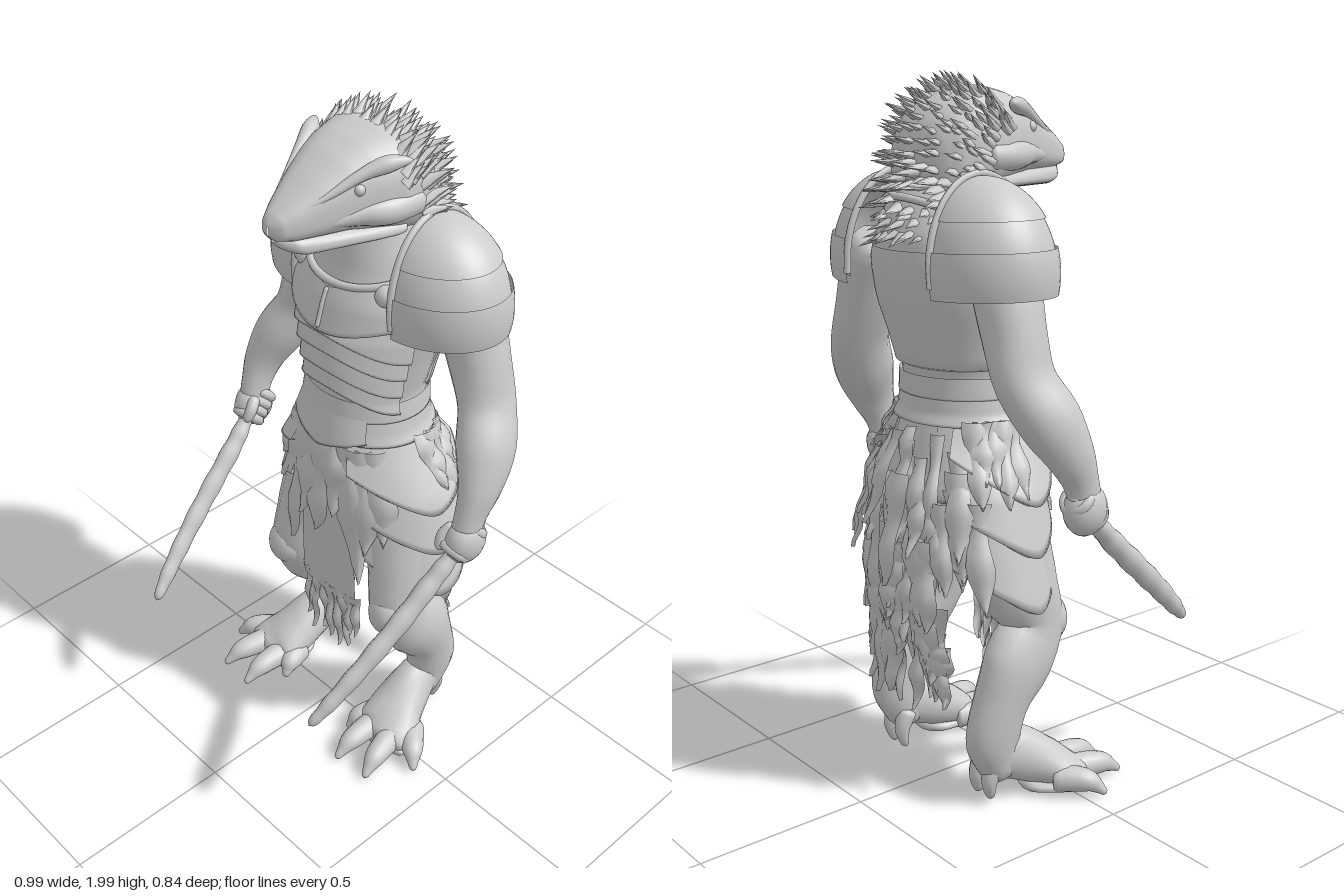
import * as THREE from 'three';
import { mergeVertices } from 'three/addons/utils/BufferGeometryUtils.js';

const stone = new THREE.MeshStandardMaterial({ color: 0xcccccc, side: THREE.DoubleSide });
stone.name = 'stone grey';
const { sin, cos, abs, sign, PI, min, max, sqrt } = Math;
const V = (x, y, z) => new THREE.Vector3(x, y, z);
let seed = 7;
const rnd = (a = 0, b = 1) => {
  seed = (seed * 16807) % 2147483647;
  return a + (b - a) * seed / 2147483647;
};

function add(parent, name, geo) {
  const m = new THREE.Mesh(geo, stone);
  m.name = name;
  parent.add(m);
  return m;
}
function group(parent, name) {
  const g = new THREE.Group();
  g.name = name;
  parent.add(g);
  return g;
}
// Smooth grid surface from f(u, v) -> [x, y, z]
function surface(f, nu, nv) {
  const pos = [], idx = [];
  for (let j = 0; j <= nv; j++) for (let i = 0; i <= nu; i++) pos.push(...f(i / nu, j / nv));
  for (let j = 0; j < nv; j++) for (let i = 0; i < nu; i++) {
    const a = j * (nu + 1) + i, b = a + nu + 1;
    idx.push(a, b, a + 1, a + 1, b, b + 1);
  }
  let g = new THREE.BufferGeometry();
  g.setAttribute('position', new THREE.Float32BufferAttribute(pos, 3));
  g.setIndex(idx);
  g = mergeVertices(g, 1e-5);
  g.computeVertexNormals();
  return g;
}
// Linear lookup in rows whose first entry is a falling key
function lookup(rows, k) {
  let i = 0;
  while (i < rows.length - 2 && k < rows[i + 1][0]) i++;
  const a = rows[i], b = rows[i + 1], t = min(1, max(0, (a[0] - k) / (a[0] - b[0])));
  return a.map((n, j) => n + (b[j] - n) * t);
}
// Rounded limb through [x, y, z, radiusSide, radiusOther]
function limb(pts, ref = V(0, 0, 1), round = 0.08, ridge = 0, nv = 28, nu = 16) {
  const path = new THREE.CatmullRomCurve3(pts.map(p => V(p[0], p[1], p[2])), false, 'catmullrom');
  const rad = new THREE.CatmullRomCurve3(pts.map(p => V(p[3], p[4] ?? p[3], 0)), false, 'catmullrom');
  return surface((u, v) => {
    const c = path.getPoint(v), t = path.getTangent(v), r = rad.getPoint(v);
    const s = V().crossVectors(t, ref).normalize(), o = V().crossVectors(s, t);
    const d = min(1, min(v, 1 - v) / round);
    const k = sqrt(max(0, 1 - (1 - d) ** 2)) * (1 + ridge * sin(v * 55));
    const a = (u % 1) * 2 * PI;
    return c.addScaledVector(s, cos(a) * r.x * k).addScaledVector(o, sin(a) * r.y * k).toArray();
  }, nu, nv);
}

// Body outline: [y, half width, front z, back z]
const BODY = [
  [1.76, 0.11, -0.02, -0.28], [1.66, 0.15, -0.01, -0.34], [1.58, 0.19, 0.0, -0.365],
  [1.5, 0.23, 0.025, -0.365], [1.4, 0.22, 0.04, -0.35], [1.3, 0.195, 0.035, -0.315],
  [1.2, 0.175, 0.025, -0.285], [1.1, 0.18, 0.035, -0.28], [1.02, 0.21, 0.04, -0.305],
  [0.9, 0.265, 0.035, -0.335], [0.75, 0.29, 0.035, -0.35], [0.6, 0.315, 0.03, -0.35], [0.25, 0.31, 0.01, -0.305],
];
function onBody(a, y, off = 0) {
  const [, rx, f, b] = lookup(BODY, y);
  return [(rx + off) * sin(a), y, (f + b) / 2 + ((f - b) / 2 + off) * cos(a)];
}
// Plate wrapped on the body between two angles, lip standing out at its lower edge
function plate(parent, name, a0, a1, top, bot, off0, off1, nu = 36) {
  return add(parent, name, surface((u, v) => {
    const a = a0 + (a1 - a0) * u, w = min(1, v / 0.85);
    const y = top(a) + (bot(a) - top(a)) * w;
    return onBody(a, y, v > 0.9 ? 0 : off0 + (off1 - off0) * w);
  }, nu, 12));
}
// Ragged hanging strip
function strip(parent, a, y0, y1, w, off, flare = 0.015) {
  const ph = rnd(0, 6), lean = rnd(-0.08, 0.08);
  add(parent, 'rag', surface((u, v) => {
    const h = w * (1 - v ** 4) * (1 + 0.25 * sin(v * 9 + ph)) + 0.002;
    return onBody(a + lean * v + (u - 0.5) * 2 * h / 0.26, y0 + (y1 - y0) * v,
      off + flare * v + 0.012 * sin(PI * u) + 0.006 * sin(v * 11 + ph));
  }, 4, 9));
}

// Head sections: [z, half width, top y, bottom y]
const HEAD = [
  [0.222, 0.004, 1.775, 1.75], [0.212, 0.034, 1.795, 1.735], [0.17, 0.06, 1.826, 1.725],
  [0.1, 0.092, 1.874, 1.72], [0.03, 0.12, 1.916, 1.715], [-0.03, 0.145, 1.94, 1.7],
  [-0.1, 0.168, 1.955, 1.68], [-0.18, 0.168, 1.945, 1.66], [-0.24, 0.148, 1.905, 1.65],
  [-0.28, 0.11, 1.86, 1.65], [-0.31, 0.002, 1.78, 1.72],
];
function headLoft(z0, z1, section) {
  return surface((u, v) => {
    const z = z0 + (z1 - z0) * v, [w, t, b] = section(z), a = (u % 1) * 2 * PI;
    const c = cos(a), s = sin(a), m = b + (t - b) * 0.4;
    return [w * sign(c) * abs(c) ** 0.75, m + (s > 0 ? t - m : m - b) * sign(s) * abs(s) ** 0.8, z];
  }, 32, 44);
}

function buildHead(root) {
  const head = group(root, 'head');
  add(head, 'skull', headLoft(0.222, -0.31, z => lookup(HEAD, z).slice(1)));
  add(head, 'lowerJaw', headLoft(0.205, -0.15, z => {
    const k = sqrt(max(0, 1 - ((z - 0.027) / 0.179) ** 2));
    return [max(0.002, lookup(HEAD, z)[1] * 0.93 * min(1, k * 1.6)), 1.74, 1.733 - 0.05 * min(1, k * 1.3)];
  }));
  for (const s of [-1, 1]) {
    add(head, 'browRidge', limb([[s * 0.045, 1.805, 0.165, 0.005], [s * 0.078, 1.84, 0.09, 0.01],
      [s * 0.112, 1.882, 0.01, 0.016], [s * 0.142, 1.902, -0.05, 0.022], [s * 0.178, 1.91, -0.1, 0.006]], V(0, 1, 0)));
    add(head, 'cheek', limb([[s * 0.07, 1.765, 0.11, 0.012], [s * 0.1, 1.775, 0.02, 0.03],
      [s * 0.135, 1.775, -0.06, 0.04], [s * 0.14, 1.775, -0.17, 0.04]], V(0, 1, 0)));
    const eye = add(head, 'eye', new THREE.SphereGeometry(0.016, 12, 8));
    eye.position.set(s * 0.112, 1.845, 0.02);
  }
  // Overlapping scale spikes over the crown, nape and upper back
  const mane = group(head, 'mane');
  const spine = new THREE.CatmullRomCurve3([V(0, 1.945, -0.09), V(0, 1.94, -0.17), V(0, 1.875, -0.25),
    V(0, 1.78, -0.295), V(0, 1.68, -0.33), V(0, 1.56, -0.36)]);
  const spike = new THREE.ConeGeometry(0.023, 1, 6).translate(0, 0.35, 0);
  for (let row = 0; row < 16; row++) for (let i = 0; i < 12; i++) {
    const t = min(1, (row + rnd(0, 0.8)) / 16), a = ((i + rnd(0.1, 0.9)) / 12 * 2 - 1) * 1.45;
    const p = spine.getPoint(t), k = 1 - cos(a);
    p.x = 0.165 * sin(a) * (t > 0.85 ? 0.8 : 1);
    p.y -= 0.13 * k * (1 - t);
    p.z += 0.17 * k * min(1, t * 1.5);
    const m = add(mane, 'spike', spike);
    m.position.copy(p);
    m.scale.set(1, rnd(0.06, 0.095), 0.6);
    const dir = V(p.x * 2 + rnd(-0.15, 0.15), 0.6 * (1 - t) - 0.25 * t, -0.6).normalize();
    m.quaternion.setFromUnitVectors(V(0, 1, 0), dir);
  }
}

function buildTorso(root) {
  const torso = group(root, 'torso');
  add(torso, 'body', surface((u, v) => {
    const k = min(1, min(v, 1 - v) * 40), p = onBody((u % 1) * 2 * PI, 1.76 - 0.92 * v);
    return [p[0] * k, p[1], -0.15 + (p[2] + 0.15) * k];
  }, 40, 50));
  const arch = (y, h) => a => y + h * cos(min(abs(a) * 2.4, PI));
  plate(torso, 'breastPlate', -1.35, 1.35, a => 1.53 + 0.05 * min(1, abs(a)), arch(1.435, -0.025), 0.008, 0.026);
  [[1.45, 1.37], [1.39, 1.315], [1.335, 1.255], [1.28, 1.2]].forEach(([t, b]) =>
    plate(torso, 'bellyPlate', -1.25, 1.25, arch(t, 0.02), arch(b, 0.033), 0.002, 0.022));
  plate(torso, 'backPlate', PI - 1.3, PI + 1.3, () => 1.54, () => 1.22, 0.004, 0.012);
  add(torso, 'breastRidge', limb([1.53, 1.49, 1.45, 1.42].map((y, i) => [...onBody(0, y, 0.008 + i * 0.006), 0.007])));
  // Necklace and strap studs
  add(torso, 'necklace', new THREE.TubeGeometry(new THREE.CatmullRomCurve3(
    Array.from({ length: 16 }, (_, i) => {
      const a = i / 16 * 2 * PI;
      return V(...onBody(a, 1.61 - 0.065 * cos(a), 0.005));
    }), true), 64, 0.011, 8, true));
  for (const s of [-1, 1]) {
    const stud = add(torso, 'strapStud', new THREE.SphereGeometry(0.032, 14, 10));
    stud.position.set(...onBody(s * 0.8, 1.54, 0.005));
  }
  // Belt layers
  plate(torso, 'waistBand', 0, 2 * PI, () => 1.2, () => 1.14, 0.01, 0.014, 48);
  plate(torso, 'belt', 0, 2 * PI, () => 1.15, () => 1.07, 0.01, 0.022, 48);
  plate(torso, 'buckle', -0.75, 0.75, () => 1.15, a => 1.04 + 0.06 * abs(a), 0.014, 0.03);
}

function buildSkirt(root) {
  const skirt = group(root, 'skirt');
  // Overlapping thigh plates, lowest at the outer side
  for (const s of [-1, 1]) [[0.84, 0.545, 0.0], [0.97, 0.7, 0.01], [1.07, 0.84, 0.02]].forEach(([t, b, o]) =>
    plate(skirt, 'thighPlate', s * 0.45, s * 2.45, () => t,
      a => b + 0.15 * sqrt((abs(a) - 1.4) ** 2 + 0.02), o * 0.6, o + 0.026, 40));
  // Front cloth with a fringe
  plate(skirt, 'frontCloth', -0.36, 0.36, () => 1.06, () => 0.455, 0.002, 0.008);
  for (let i = 0; i < 9; i++) strip(skirt, -0.34 + i * 0.085, 0.5, rnd(0.24, 0.36), 0.015, -0.004, 0);
  for (const s of [-1, 1]) for (let i = 0; i < 4; i++)
    strip(skirt, s * (0.18 + i * 0.2), 1.06, i === 1 ? 0.6 : rnd(0.7, 0.86), 0.045, 0.014);
  strip(skirt, 0.02, 1.06, 0.72, 0.045, 0.014);
  // Tattered back cloth
  plate(skirt, 'backCloth', PI - 0.45, PI + 0.45, () => 1.07, a => 0.43 + 0.05 * sin(a * 23), 0.004, 0.0);
  for (let i = 0; i < 76; i++) {
    const y0 = 1.06 - 0.62 * (i / 76), spread = y0 > 0.85 ? 1.1 : 0.48;
    strip(skirt, PI + rnd(-spread, spread), y0, max(rnd(0.25, 0.36), y0 - rnd(0.17, 0.32)), rnd(0.018, 0.036),
      rnd(0.005, 0.025), rnd(0.0, 0.035));
  }
  for (const s of [-1, 1]) for (let i = 0; i < 5; i++)
    strip(skirt, s * (1.6 + i * 0.14), 1.09, rnd(0.86, 0.98), 0.035, 0.025);
}

function buildSide(root, s) {
  const side = group(root, s > 0 ? 'leftSide' : 'rightSide');
  side.scale.x = s;
  // Shoulder armour
  const guard = group(side, 'shoulderArmour');
  [[0, 0.98, 1.03], [0.85, 1.42, 1.0], [1.32, 1.82, 1.04], [0, 1.75, 0.97]].forEach(([t0, t1, k]) => {
    const m = add(guard, 'shoulderPlate', new THREE.SphereGeometry(k, 28, 14, PI / 2, PI, t0, t1 - t0));
    m.scale.set(0.213, 0.235, 0.172);
    m.position.set(0.185, 1.49, -0.2);
    m.rotation.z = 0.04;
  });
  add(guard, 'shoulderRim', new THREE.TubeGeometry(new THREE.CatmullRomCurve3(
    Array.from({ length: 11 }, (_, i) => {
      const a = (i / 10 - 0.5) * 3.4;
      return V(0.185 - 0.015 * cos(a), 1.49 + 0.247 * cos(a), -0.2 + 0.176 * sin(a));
    })), 40, 0.01, 8));
  // Arm and fist
  const arm = group(side, 'arm');
  add(arm, 'armLimb', limb([[0.24, 1.56, -0.2, 0.08, 0.1], [0.295, 1.45, -0.215, 0.085, 0.095],
    [0.332, 1.34, -0.22, 0.08, 0.088], [0.37, 1.23, -0.215, 0.068, 0.09], [0.415, 1.13, -0.17, 0.073, 0.09],
    [0.443, 1.04, -0.125, 0.054, 0.07], [0.447, 0.96, -0.09, 0.04, 0.052], [0.445, 0.88, -0.07, 0.04, 0.05]]));
  const fist = add(arm, 'fist', new THREE.SphereGeometry(1, 18, 14));
  fist.scale.set(0.05, 0.072, 0.066);
  fist.position.set(0.447, 0.885, -0.075);
  const axis = V(-0.1, -0.7, 0.7).normalize();
  for (let i = 0; i < 4; i++) {
    const f = add(arm, 'finger', new THREE.TorusGeometry(0.036, 0.016, 8, 18));
    f.position.set(0.443, 0.915, -0.1).addScaledVector(axis, i * 0.027);
    f.quaternion.setFromUnitVectors(V(0, 0, 1), axis);
  }
  add(arm, 'thumb', limb([[0.42, 0.93, -0.06, 0.018], [0.405, 0.9, -0.03, 0.018], [0.41, 0.86, -0.01, 0.014]], V(1, 0, 0), 0.2));
  // Curved blade
  add(side, 'blade', limb([[0.455, 0.94, -0.13, 0.018], [0.44, 0.85, -0.04, 0.022], [0.427, 0.78, 0.03, 0.03, 0.027],
    [0.412, 0.68, 0.14, 0.033, 0.027], [0.39, 0.575, 0.26, 0.031, 0.024],
    [0.366, 0.485, 0.36, 0.025, 0.02], [0.348, 0.43, 0.42, 0.012, 0.012]], V(1, 0, 0), 0.04, 0.05, 60, 12));
  // Leg and knee
  const leg = group(side, 'leg');
  add(leg, 'legLimb', limb([[0.13, 0.96, -0.15, 0.11, 0.14], [0.16, 0.8, -0.14, 0.12, 0.15],
    [0.2, 0.63, -0.1, 0.1, 0.125], [0.22, 0.5, -0.06, 0.08, 0.095], [0.235, 0.4, -0.125, 0.078, 0.11],
    [0.232, 0.3, -0.18, 0.07, 0.085], [0.227, 0.2, -0.205, 0.063, 0.085], [0.222, 0.13, -0.19, 0.055, 0.07],
    [0.222, 0.06, -0.16, 0.045, 0.05]], V(0, 0, 1), 0.06));
  const knee = add(leg, 'knee', new THREE.SphereGeometry(1, 18, 14));
  knee.scale.set(0.062, 0.075, 0.06);
  knee.position.set(0.225, 0.5, -0.012);
  // Foot with tapered toes
  const foot = group(leg, 'foot');
  add(foot, 'instep', limb([[0.22, 0.15, -0.24, 0.045, 0.06], [0.225, 0.135, -0.15, 0.06, 0.08],
    [0.24, 0.085, -0.05, 0.085, 0.068], [0.26, 0.052, 0.02, 0.1, 0.05], [0.265, 0.04, 0.07, 0.075, 0.03]], V(0, 1, 0), 0.12));
  [[0.19, -0.02, 0.15, 0.08], [0.215, 0.0, 0.218, 0.195], [0.285, 0.0, 0.332, 0.185], [0.3, -0.05, 0.415, 0.055]]
    .forEach(([x0, z0, x1, z1]) => {
      const at = (t, y, r) => [x0 + (x1 - x0) * t, y, z0 + (z1 - z0) * t, r, r];
      add(foot, 'toe', limb([at(0, 0.045, 0.042), at(0.4, 0.048, 0.037), at(0.68, 0.043, 0.031), at(0.86, 0.026, 0.018),
        at(1, 0.008, 0.008)], V(0, 1, 0), 0.06));
    });
  add(foot, 'sole', limb([[0.225, 0.02, -0.11, 0.05, 0.02], [0.26, 0.022, 0.0, 0.1, 0.022], [0.27, 0.022, 0.07, 0.08, 0.022]], V(0, 1, 0), 0.15));
  for (const x of [0.18, 0.235]) add(foot, 'heelClaw', limb([[x, 0.13, -0.2, 0.03], [x, 0.07, -0.225, 0.024],
    [x - 0.005, 0.008, -0.215, 0.01]], V(0, 0, 1), 0.12, 0, 12, 10));
}

export function createModel() {
  seed = 7;
  const root = new THREE.Group();
  root.name = 'reptileWarrior';
  buildHead(root);
  buildTorso(root);
  buildSkirt(root);
  for (const s of [-1, 1]) buildSide(root, s);
  return root;
}
